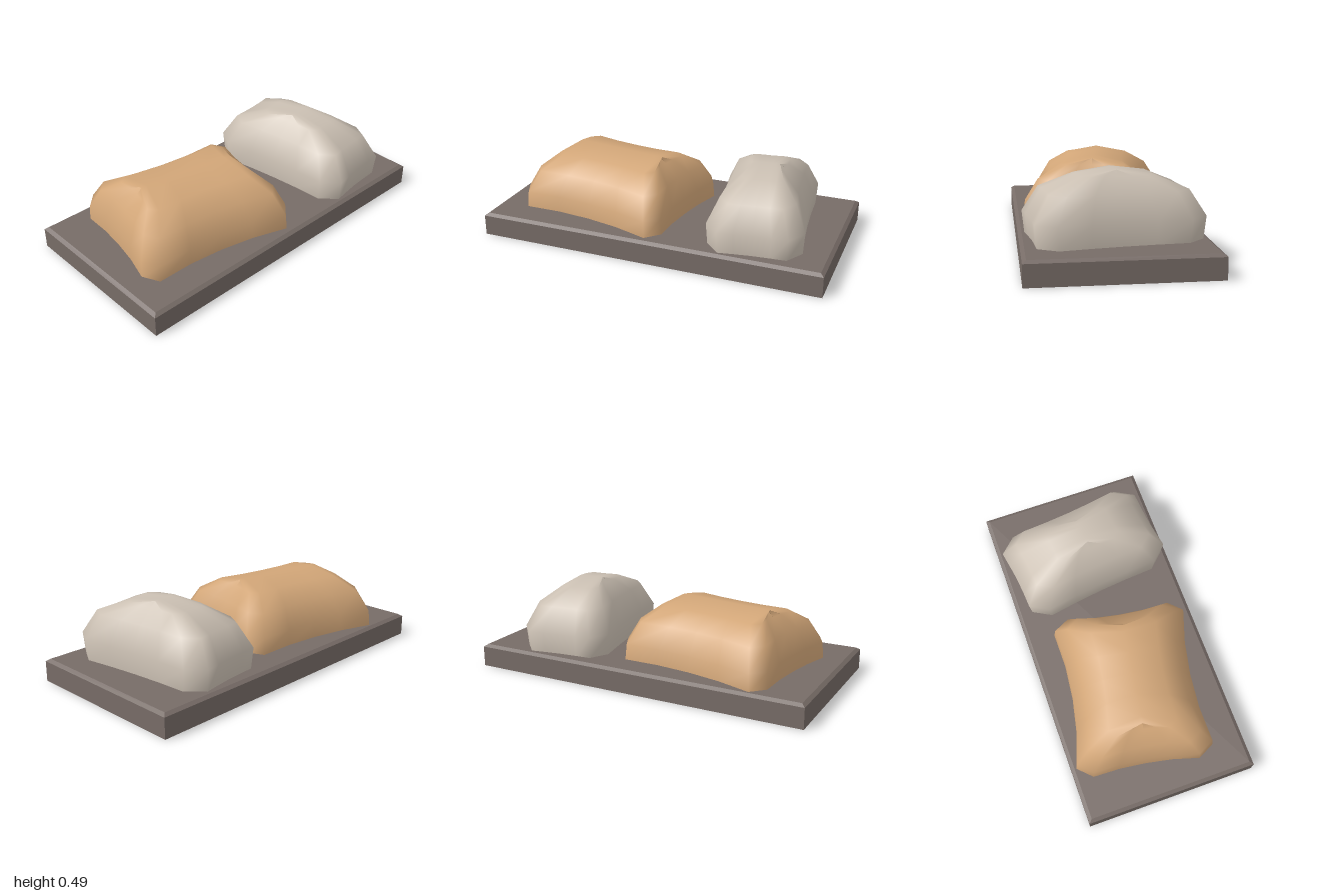
import * as THREE from 'three';
import { mergeVertices } from 'three/addons/utils/BufferGeometryUtils.js';
import { ConvexGeometry } from 'three/addons/geometries/ConvexGeometry.js';

// Mirrors one quadrant of [x, z] points (from the +x axis to the +z axis) into a closed outline.
function mirrorOutline(quadrant) {
  const half = [...quadrant, ...quadrant.slice(0, -1).reverse().map(([x, z]) => [-x, z])];
  return [...half, ...half.slice(1, -1).reverse().map(([x, z]) => [x, -z])];
}

// Stacks scaled copies of the outline: each ring is [y, x scale, z scale]; the last closes on a ridge.
function pillowGeometry(quadrant, rings) {
  const outline = mirrorOutline(quadrant);
  const n = outline.length;
  const positions = [];
  const indices = [];
  for (const [y, sx, sz] of rings) {
    for (const [x, z] of outline) positions.push(x * sx, y, z * sz);
  }
  for (let r = 0; r < rings.length - 1; r++) {
    for (let i = 0; i < n; i++) {
      const a = r * n + i;
      const b = r * n + (i + 1) % n;
      indices.push(a, a + n, b, b, a + n, b + n);
    }
  }
  const geometry = new THREE.BufferGeometry();
  geometry.setAttribute('position', new THREE.Float32BufferAttribute(positions, 3));
  geometry.setIndex(indices);
  const merged = mergeVertices(geometry, 1e-4);
  merged.computeVertexNormals();
  return merged;
}

// Slab with a narrow chamfer round its top.
function slabGeometry(hx, hz, height, chamfer) {
  const points = [];
  const levels = [[0, 0], [height - 0.014, 0], [height, chamfer]];
  for (const [y, inset] of levels) {
    for (const sx of [-1, 1]) {
      for (const sz of [-1, 1]) {
        points.push(new THREE.Vector3(sx * (hx - inset), y, sz * (hz - inset)));
      }
    }
  }
  return new ConvexGeometry(points);
}

function material(name, color) {
  const m = new THREE.MeshStandardMaterial({ color });
  m.name = name;
  return m;
}

export function createModel() {
  const model = new THREE.Group();
  model.name = 'stonesOnSlab';

  const add = (name, geometry, mat, x, z, turn) => {
    const mesh = new THREE.Mesh(geometry, mat);
    mesh.name = name;
    mesh.position.set(x, 0, z);
    mesh.rotation.y = turn;
    model.add(mesh);
  };

  // Base slab, turned slightly
  add('baseSlab', slabGeometry(0.987, 0.49, 0.13, 0.02), material('darkGrey', 0x776c67), 0, 0, 0.0254);

  // Wide tan pillow shape with pinched sides
  const wide = pillowGeometry(
    [[0.44, 0], [0.445, 0.15], [0.464, 0.303], [0.403, 0.39], [0.2, 0.357], [0, 0.347]],
    [[0.12, 1, 1], [0.22, 0.985, 0.98], [0.335, 0.88, 0.8], [0.412, 0.7, 0.48], [0.445, 0.61, 0]],
  );
  add('widePillow', wide, material('tan', 0xd2a678), -0.345, 0, -0.14);

  // Narrow pale pillow shape
  const narrow = pillowGeometry(
    [[0.25, 0], [0.253, 0.17], [0.262, 0.345], [0.188, 0.445], [0.1, 0.44], [0, 0.437]],
    [[0.12, 0.97, 0.97], [0.25, 1, 1], [0.385, 0.77, 0.82], [0.46, 0.43, 0.43], [0.487, 0.28, 0]],
  );
  add('narrowPillow', narrow, material('paleGrey', 0xcbc0b3), 0.54, -0.01, 0.15);

  return model;
}
